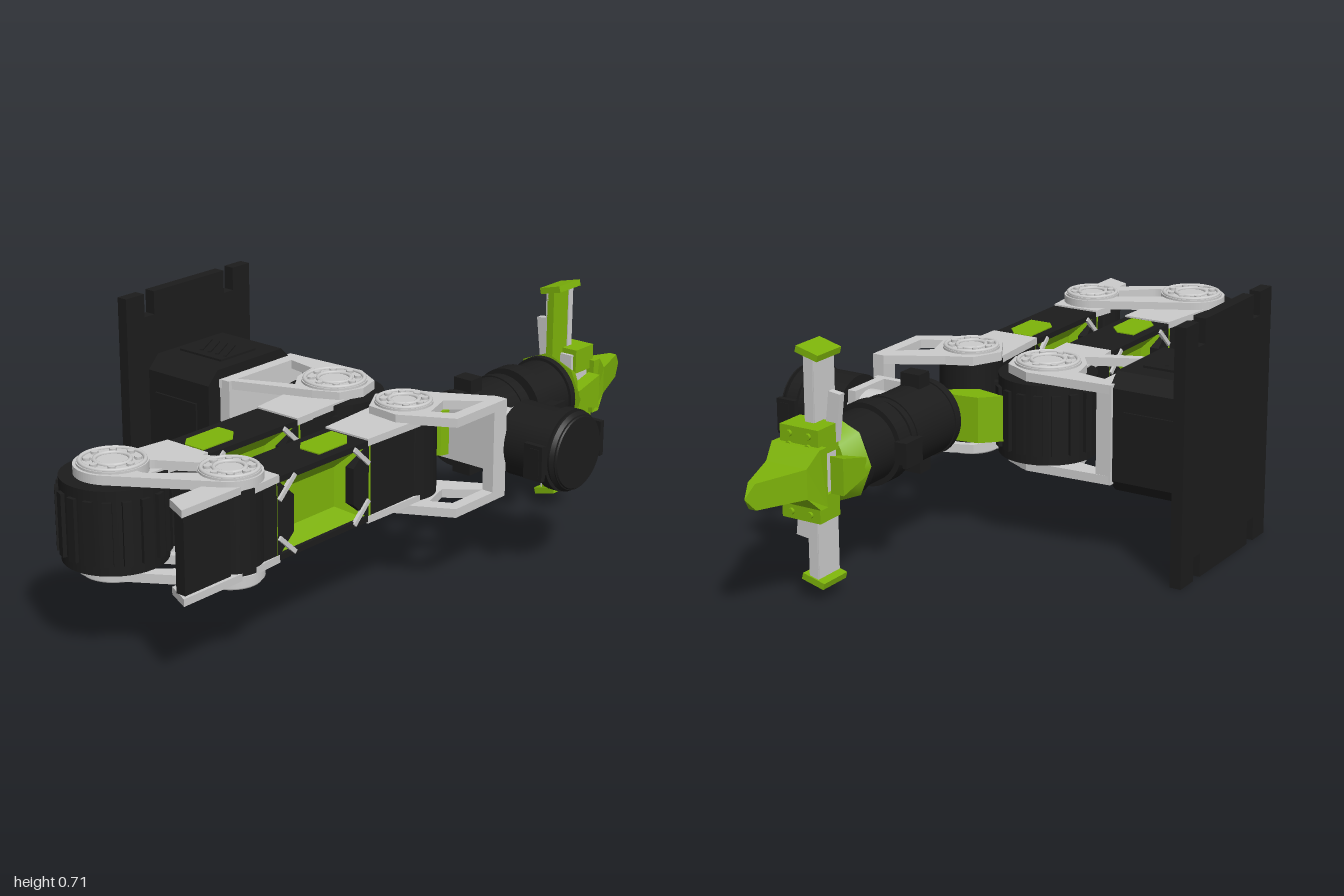
import * as THREE from 'three';

const Y = 0.362; // height of the arm's centre plane
const black = new THREE.MeshStandardMaterial({ color: 0x1c1c1c });
const white = new THREE.MeshStandardMaterial({ color: 0xcccccc });
const green = new THREE.MeshStandardMaterial({ color: 0x7db30a, side: THREE.DoubleSide });

export function createModel() {
  const root = new THREE.Group();
  root.name = 'robotArm';

  const add = (parent, name, geometry, material, x = 0, y = 0, z = 0) => {
    const m = new THREE.Mesh(geometry, material);
    m.name = name;
    m.position.set(x, y, z);
    parent.add(m);
    return m;
  };
  const group = (name, x = 0, y = 0, z = 0) => {
    const g = new THREE.Group();
    g.name = name;
    g.position.set(x, y, z);
    root.add(g);
    return g;
  };
  const box = (p, name, mat, x0, x1, y0, y1, z0, z1) =>
    add(p, name, new THREE.BoxGeometry(x1 - x0, y1 - y0, z1 - z0), mat, (x0 + x1) / 2, (y0 + y1) / 2, (z0 + z1) / 2);
  const poly = (pts) => new THREE.Shape(pts.map(([a, b]) => new THREE.Vector2(a, b)));
  const extrude = (shape, depth) => new THREE.ExtrudeGeometry(shape, { depth, bevelEnabled: false, curveSegments: 20 });

  // Outline around two circles, drawn in x and z
  const strap = (x1, z1, r1, x2, z2, r2) => {
    const a = Math.atan2(z2 - z1, x2 - x1);
    const f = Math.acos((r1 - r2) / Math.hypot(x2 - x1, z2 - z1));
    const s = new THREE.Shape();
    s.absarc(x1, z1, r1, a + f, a - f + Math.PI * 2, false);
    s.absarc(x2, z2, r2, a - f, a + f, false);
    s.closePath();
    return s;
  };
  // Horizontal plate from an x-z outline, its lower face at y
  const plate = (p, name, shape, mat, y, h) => {
    const g = extrude(shape, h);
    g.rotateX(Math.PI / 2);
    return add(p, name, g, mat, 0, y + h, 0);
  };
  // The same plate above and below the arm
  const platePair = (p, name, shape, mat, inner, outer) => {
    plate(p, name + 'Top', shape, mat, Y + inner, outer - inner);
    plate(p, name + 'Bottom', shape, mat, Y - outer, outer - inner);
  };
  const cyl = (p, name, mat, axis, r, len, x, y, z, r2 = r, seg = 40) => {
    const g = new THREE.CylinderGeometry(r2, r, len, seg);
    if (axis === 'x') g.rotateZ(-Math.PI / 2);
    if (axis === 'z') g.rotateX(Math.PI / 2);
    return add(p, name, g, mat, x, y, z);
  };

  // Mounting plate: notched between the centre panel and side bars
  const base = group('base');
  const cx = -0.078, hw = 0.247, hh = 0.357;
  const n0 = 0.14, n1 = 0.178, nd = 0.29;
  const outline = [[-hw, -hh], [-n1, -hh], [-n1, -nd], [-n0, -nd], [-n0, -hh], [n0, -hh], [n1 - 0.0, -hh]];
  const lower = [...outline.slice(0, 5), [n0, -hh], [n0, -nd], [n1, -nd], [n1, -hh], [hw, -hh]];
  const upper = lower.map(([a, b]) => [-a, -b]);
  add(base, 'mountingPlate', extrude(poly([...lower, ...upper]), 0.033), black, cx, hh, -0.57);

  // Base housing: chamfered block with ribbed side panels
  const hs = 0.168, hc = 0.13;
  add(base, 'baseHousing', extrude(poly([[-hc, -hs], [hc, -hs], [hs, -hc], [hs, hc], [hc, hs], [-hc, hs], [-hs, hc], [-hs, -hc]]), 0.235),
    black, cx, Y, -0.54);
  for (const s of [-1, 1]) {
    box(base, 'sidePanel', black, cx + s * 0.17 - 0.004, cx + s * 0.17 + 0.004, Y - 0.07, Y + 0.07, -0.51, -0.35);
    box(base, 'topPanel', black, cx - 0.07, cx + 0.07, Y + s * 0.17 - 0.004, Y + s * 0.17 + 0.004, -0.51, -0.35);
    for (let i = 0; i < 4; i++) {
      const rib = box(base, 'panelRib', black, cx - 0.05, cx + 0.05, Y + s * 0.174 - 0.004, Y + s * 0.174 + 0.004, -0.48 + i * 0.03, -0.47 + i * 0.03);
      rib.rotation.y = 0.5;
    }
  }
  cyl(base, 'turntable', black, 'z', 0.14, 0.03, -0.05, Y, -0.3);

  // Joint: dark lobed drum with patterned discs on both ends
  const joint = (name, x, z, r, discR) => {
    const g = group(name, x, Y, z);
    cyl(g, 'drum', black, 'y', r, 0.225, 0, 0, 0);
    if (r > 0.11) for (let i = 0; i < 18; i++) {
      const a = (i / 18) * Math.PI * 2;
      const b = add(g, 'drumRib', new THREE.BoxGeometry(0.02, 0.17, 0.024), black, Math.cos(a) * r, 0, Math.sin(a) * r);
      b.rotation.y = -a;
    }
    for (const s of [-1, 1]) {
      cyl(g, 'disc', white, 'y', discR, 0.04, 0, s * 0.126, 0);
      for (const k of [0.9, 0.5]) {
        const ring = add(g, 'discRing', new THREE.TorusGeometry(discR * k, 0.006, 8, 36), white, 0, s * 0.147, 0);
        ring.rotation.x = Math.PI / 2;
      }
      for (let i = 0; i < 8; i++) {
        const a = (i / 8) * Math.PI * 2;
        cyl(g, 'bolt', white, 'y', 0.01, 0.012, Math.cos(a) * discR * 0.7, s * 0.147, Math.sin(a) * discR * 0.7, 0.01, 8);
      }
    }
  };
  joint('shoulderJoint', 0, -0.06, 0.137, 0.092);
  joint('elbowJoint', -0.84, -0.06, 0.137, 0.092);
  joint('forearmJoint', -0.69, 0.2, 0.085, 0.08);
  joint('wristJoint', -0.015, 0.2, 0.09, 0.08);

  // Shoulder yoke
  const shoulder = group('shoulderYoke');
  const sy = poly([[-0.205, -0.31], [0.1, -0.31], [0.115, -0.06], [0.07, 0.025], [0, 0.045], [-0.07, 0.02], [-0.105, -0.05]]);
  sy.holes.push(poly([[-0.165, -0.27], [-0.095, -0.12], [-0.04, -0.16], [0.04, -0.18], [0.055, -0.27]]));
  platePair(shoulder, 'shoulderPlate', sy, white, 0.115, 0.14);
  box(shoulder, 'shoulderBridge', white, -0.2, 0.1, Y - 0.14, Y + 0.14, -0.315, -0.27);

  // Elbow yoke: open straps, with a short tail bracket
  const elbow = group('elbowYoke');
  const es = strap(-0.84, -0.06, 0.1, -0.69, 0.2, 0.085);
  es.holes.push(strap(-0.8, 0.04, 0.045, -0.735, 0.125, 0.035));
  platePair(elbow, 'elbowStrap', es, white, 0.115, 0.14);
  const tail = poly([[-0.935, 0.275], [-0.9, 0.2], [-0.74, 0.2], [-0.7, 0.275]]);
  platePair(elbow, 'tailPlate', tail, white, 0.105, 0.125);
  box(elbow, 'tailPanel', black, -0.92, -0.76, Y - 0.105, Y + 0.105, 0.235, 0.265);

  // Arm link: recessed green waist between dark covers and pale end caps
  const funnel = (zOut, zIn) => {
    const ring = (w, h, z) => [[-w, -h, z], [w, -h, z], [w, h, z], [-w, h, z]];
    const o = ring(0.18, 0.112, zOut), n = ring(0.085, 0.055, zIn);
    const pos = [];
    for (let i = 0; i < 4; i++) {
      const j = (i + 1) % 4;
      pos.push(...o[i], ...o[j], ...n[j], ...o[i], ...n[j], ...n[i]);
    }
    pos.push(...n[0], ...n[1], ...n[2], ...n[0], ...n[2], ...n[3]);
    const g = new THREE.BufferGeometry();
    g.setAttribute('position', new THREE.Float32BufferAttribute(pos, 3));
    g.computeVertexNormals();
    return g;
  };
  const link = (name, z, xa, za, xb, zb, side) => {
    const g = group(name);
    const w = 0.073, mid = -0.425;
    for (const s of [-1, 1]) {
      add(g, 'waist', funnel(s * w, s * 0.03), green, mid, Y, z);
      const yc = Y + s * 0.105;
      box(g, 'cover', black, mid - 0.17, mid + 0.17, yc - 0.008, yc + 0.008, z - w, z + w);
      const x0 = side < 0 ? mid - 0.16 : mid + 0.01;
      plate(g, 'coverInset', poly([[x0, z - 0.02], [x0 + 0.03, z - 0.045], [x0 + 0.15, z - 0.045], [x0 + 0.15, z + 0.01], [x0 + 0.11, z + 0.045], [x0, z + 0.045]]),
        green, yc + s * 0.008 - 0.003, 0.006);
    }
    for (const [d, x, jz] of [[-1, xa, za], [1, xb, zb]]) {
      const e = mid + d * 0.17;
      const pts = [[x, jz - 0.085], [e, z - w], [e, z + w], [x, jz + 0.085]];
      if (d < 0) pts.reverse();
      platePair(g, 'endCap', poly(pts), white, 0.098, 0.118);
      // Pointed dark core that reaches into the waist
      const core = [[x, -0.1], [e, -0.1], [e - d * 0.055, -0.05], [e - d * 0.055, 0.05], [e, 0.1], [x, 0.1]];
      const depth = 2 * w - 0.004;
      add(g, 'endCore', extrude(poly(core), depth), black, 0, Y, z - depth / 2);
      // Pale trim along the point of the core
      for (const s of [-1, 1]) for (const q of [-1, 1]) {
        const t = add(g, 'endTrim', new THREE.BoxGeometry(0.08, 0.012, 0.01), white, e - d * 0.027, Y + s * 0.078, z + q * w);
        t.rotation.z = -d * s * 0.75;
      }
    }
  };
  link('upperArm', -0.04, -0.84, -0.06, 0, -0.06, -1);
  link('forearm', 0.205, -0.69, 0.2, -0.015, 0.2, 1);

  // Wrist yoke and side bracket
  const wrist = group('wristYoke');
  const wy = poly([[-0.1, 0.15], [-0.015, 0.1], [0.07, 0.14], [0.1, 0.21], [0.185, 0.36], [0.185, 0.395], [-0.03, 0.395], [-0.11, 0.25]]);
  wy.holes.push(poly([[-0.03, 0.305], [0.06, 0.275], [0.13, 0.36], [0.0, 0.36]]));
  platePair(wrist, 'wristPlate', wy, white, 0.115, 0.14);
  box(wrist, 'wristBridge', white, 0.13, 0.185, Y - 0.14, Y + 0.14, 0.36, 0.395);
  box(wrist, 'bodyBracket', white, 0.185, 0.205, Y - 0.08, Y + 0.08, 0.15, 0.38);
  box(wrist, 'motorBracket', white, 0.185, 0.34, Y - 0.08, Y + 0.08, 0.345, 0.37);

  // Wrist motor, pointing forward
  const motor = group('wristMotor', 0.28, Y, 0);
  cyl(motor, 'neck', white, 'z', 0.07, 0.1, 0, 0, 0.34);
  cyl(motor, 'motorCan', black, 'z', 0.105, 0.19, 0, 0, 0.47);
  cyl(motor, 'motorCollar', black, 'z', 0.115, 0.03, 0, 0, 0.525);
  cyl(motor, 'motorCap', black, 'z', 0.112, 0.018, 0, 0, 0.56, 0.1);
  for (const s of [-1, 1]) {
    box(motor, 'clampBar', black, s * 0.125 - 0.02, s * 0.125 + 0.02, -0.04, 0.04, 0.51, 0.54);
    box(motor, 'clampEar', black, s * 0.135 - 0.008, s * 0.135 + 0.008, -0.05, 0.05, 0.49, 0.55);
  }

  // Tool body, a stepped cylinder along x
  const tool = group('toolBody', 0, Y, 0.2);
  cyl(tool, 'rearCan', black, 'x', 0.105, 0.23, 0.315, 0, 0);
  cyl(tool, 'clampRing', black, 'x', 0.115, 0.05, 0.475, 0, 0);
  cyl(tool, 'frontCan', black, 'x', 0.1, 0.15, 0.555, 0, 0);
  for (const x of [0.22, 0.4, 0.62]) cyl(tool, 'rim', black, 'x', 0.109, 0.02, x, 0, 0);
  for (const s of [-1, 1]) {
    box(tool, 'clampLug', black, 0.45, 0.515, -0.03, 0.03, s * 0.125 - 0.02, s * 0.125 + 0.02);
    box(tool, 'clampEar', black, 0.45, 0.525, -0.035, 0.035, s * 0.143 - 0.006, s * 0.143 + 0.006);
    box(tool, 'rearKnob', black, 0.24, 0.29, s * 0.12 - 0.02, s * 0.12 + 0.02, -0.03, 0.03);
  }
  plate(root, 'rearGuard', poly([[0.12, 0.01], [0.17, 0.06], [0.19, 0.2], [0.16, 0.19], [0.1, 0.1]]), green, 0.295, 0.13);

  // Gripper: faceted green hub with two fingers and a pointed nose
  const grip = group('gripper', 0, Y, 0.205);
  cyl(grip, 'hub', green, 'x', 0.12, 0.055, 0.66, 0, 0, 0.085, 8);
  box(grip, 'carrier', white, 0.68, 0.765, -0.11, 0.11, -0.05, 0.05);
  for (const s of [-1, 1]) {
    box(grip, 'knuckle', green, 0.69, 0.775, s * 0.09 - 0.035, s * 0.09 + 0.035, -0.06, 0.06);
    for (const z of [-0.03, 0.03]) for (const y of [0.075, 0.105])
      cyl(grip, 'knuckleBolt', green, 'x', 0.009, 0.014, 0.776, s * y, z, 0.009, 10);
    const wing = extrude(poly([[0.64, -0.025], [0.74, -0.05], [0.74, 0.05], [0.64, 0.025]]), 0.04);
    add(grip, 'hubWing', wing, green, 0, 0, s * 0.09 - 0.02);
    // Finger: pale blade backed by a green shell, with a hooked tip
    box(grip, 'fingerBlade', white, 0.71, 0.73, s * 0.21 - 0.1, s * 0.21 + 0.1, -0.014, 0.014);
    const shell = s > 0 ? [[0.64, 0.05], [0.715, 0.05], [0.715, 0.31], [0.64, 0.31]] : [[0.64, -0.31], [0.715, -0.31], [0.715, -0.05], [0.64, -0.05]];
    add(grip, 'fingerShell', extrude(poly(shell), 0.022), green, 0, 0, -0.011);
    box(grip, 'fingerFlange', white, 0.64, 0.728, s * 0.2 - 0.1, s * 0.2 + 0.1, -0.016, -0.009);
    const tip = box(grip, 'fingerTip', green, 0.635, 0.735, s * 0.307 - 0.009, s * 0.307 + 0.009, -0.035, 0.035);
    tip.rotation.x = -0.25;
    // Slanted actuating lever beside each finger
    const lever = box(grip, 'lever', white, 0.68, 0.7, s * 0.14 - 0.065, s * 0.14 + 0.065, -s * 0.05 - 0.018, -s * 0.05 + 0.018);
    lever.rotation.x = -0.12;
  }

  // Nose: wedge in plan, stepped in elevation
  const nose = extrude(poly([[0.76, -0.08], [0.79, -0.08], [0.83, -0.04], [0.97, -0.035], [1, 0], [0.97, 0.035], [0.83, 0.04], [0.79, 0.08], [0.76, 0.08]]), 1);
  const p = nose.attributes.position;
  for (let i = 0; i < p.count; i++) {
    const half = 0.075 * Math.min(1, (1.0 - p.getX(i)) / 0.2);
    p.setZ(i, (p.getZ(i) - 0.5) * 2 * half);
  }
  const noseFlat = nose.toNonIndexed ? (nose.index ? nose.toNonIndexed() : nose) : nose;
  noseFlat.computeVertexNormals();
  add(grip, 'nose', noseFlat, green);

  return root;
}
